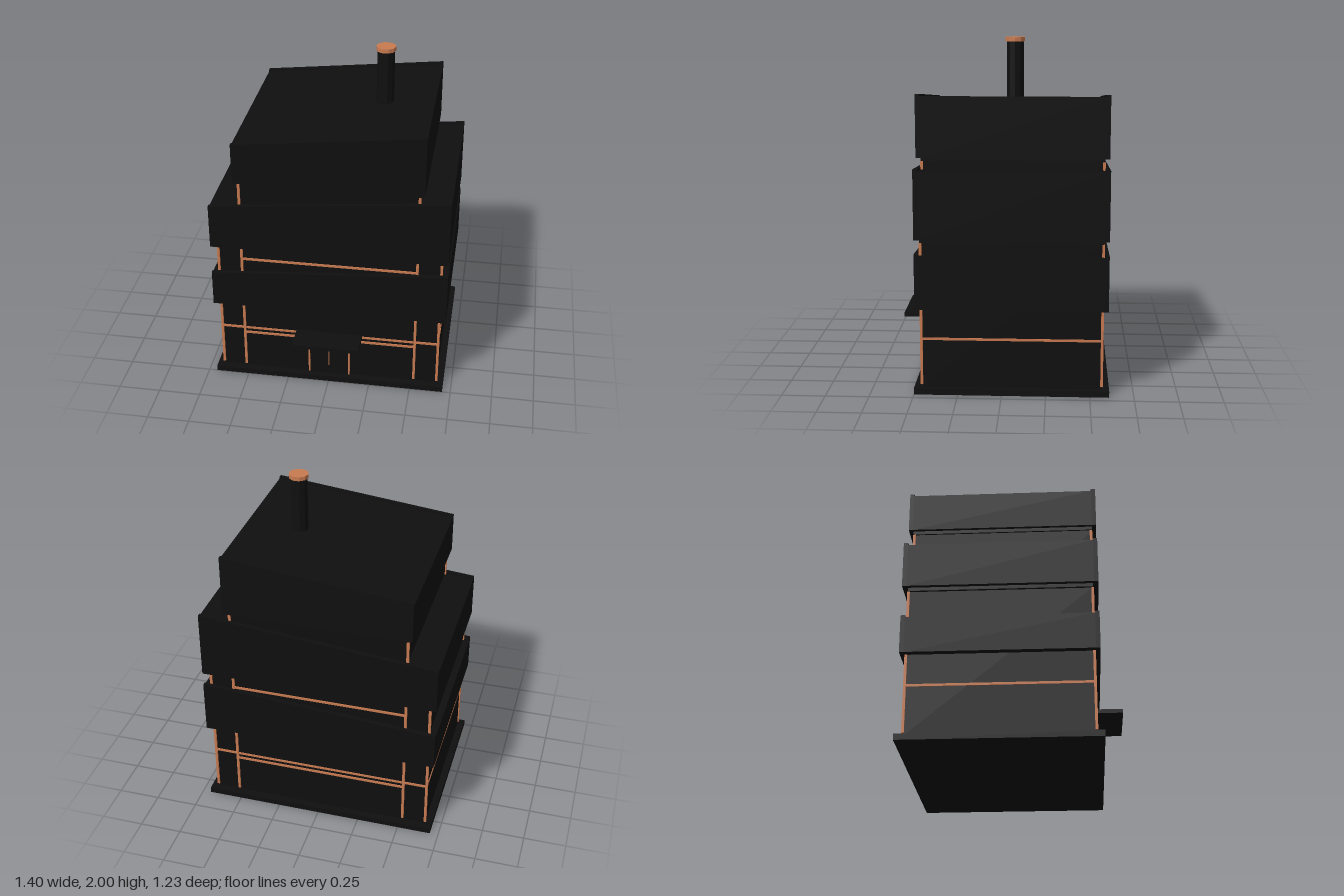
import * as THREE from 'three';

const CZ = -0.055; // depth centre of the building

export function createModel() {
  const black = new THREE.MeshStandardMaterial({ color: 0x0f0f0f });
  black.name = 'black cladding';
  const copper = new THREE.MeshStandardMaterial({ color: 0xc87a50 });
  copper.name = 'copper trim';

  const model = new THREE.Group();
  model.name = 'building';

  const add = (name, geometry, material, x, y, z) => {
    const mesh = new THREE.Mesh(geometry, material);
    mesh.name = name;
    mesh.position.set(x, y, z);
    model.add(mesh);
    return mesh;
  };
  // Box spanning y0..y1, centred on x and z
  const box = (name, material, w, y0, y1, d, x = 0, z = CZ) =>
    add(name, new THREE.BoxGeometry(w, y1 - y0, d), material, x, (y0 + y1) / 2, z);

  // Wedge-topped slab, extruded along z
  const wedge = (name, hw, y0, left, right, z0, z1) => {
    const shape = new THREE.Shape([
      new THREE.Vector2(-hw, y0), new THREE.Vector2(hw, y0),
      new THREE.Vector2(hw, right), new THREE.Vector2(-hw, left),
    ]);
    const geometry = new THREE.ExtrudeGeometry(shape, { depth: z1 - z0, bevelEnabled: false });
    add(name, geometry, black, 0, 0, z0);
  };
  // Sloping fascia band with a slightly raised lip along front and back
  const band = (hw, y0, left, right) => {
    wedge('slopingRoof', hw, y0, left - 0.012, right - 0.012, -0.575, 0.465);
    wedge('frontFascia', hw, y0, left, right, 0.465, 0.49);
    wedge('backFascia', hw, y0, left, right, -0.6, -0.575);
  };
  // Copper posts on the four corners of a storey
  const posts = (x, y0, y1, hd) => {
    for (const sx of [-1, 1]) for (const sz of [-1, 1])
      box('cornerPost', copper, 0.015, y0, y1, 0.015, sx * x, CZ + sz * hd);
  };
  // Copper rail running around a storey
  const rail = (hw, hd, y) => {
    for (const s of [-1, 1]) {
      box('longRail', copper, hw * 2, y - 0.007, y + 0.007, 0.008, 0, CZ + s * hd);
      box('sideRail', copper, 0.008, y - 0.007, y + 0.007, hd * 2, s * hw, CZ);
    }
  };

  // Plinth and storeys
  box('plinth', black, 1.4, 0, 0.035, 1.11);
  box('lowerBody', black, 1.32, 0.035, 0.88, 1.02);
  box('lowerSoffit', black, 1.35, 0.88, 0.9, 1.03);
  box('towerBody', black, 1.04, 0.035, 1.32, 1.024);
  box('towerSoffit', black, 1.06, 1.32, 1.34, 1.04);

  // Sloping bands, bottom to top
  band(0.7, 0.5, 0.72, 0.82);
  band(0.7, 0.9, 1.17, 1.3);
  band(0.55, 1.34, 1.58, 1.7);

  // Copper trim
  posts(0.66, 0.05, 0.88, 0.512);
  posts(0.52, 0.05, 1.32, 0.514);
  rail(0.66, 0.512, 0.32);
  rail(0.52, 0.514, 0.287);
  rail(0.52, 0.514, 0.815);

  // Entrance
  box('canopy', black, 0.4, 0.312, 0.335, 0.165, 0, 0.5325);
  box('door', black, 0.24, 0.035, 0.28, 0.01, 0, 0.46);
  for (const s of [-1, 1])
    box('doorJamb', copper, 0.01, 0.04, 0.285, 0.016, s * 0.122, 0.46);
  box('doorHandle', copper, 0.003, 0.1, 0.23, 0.012, 0, 0.468);

  // Chimney
  const flue = new THREE.CylinderGeometry(0.051, 0.051, 0.4, 10).rotateY(Math.PI / 2);
  add('chimney', flue.toNonIndexed(), black, 0.254, 1.78, CZ - 0.003).geometry.computeVertexNormals();
  const cap = new THREE.CylinderGeometry(0.058, 0.058, 0.024, 10).rotateY(Math.PI / 2);
  add('chimneyCap', cap.toNonIndexed(), copper, 0.254, 1.988, CZ - 0.003).geometry.computeVertexNormals();

  return model;
}
